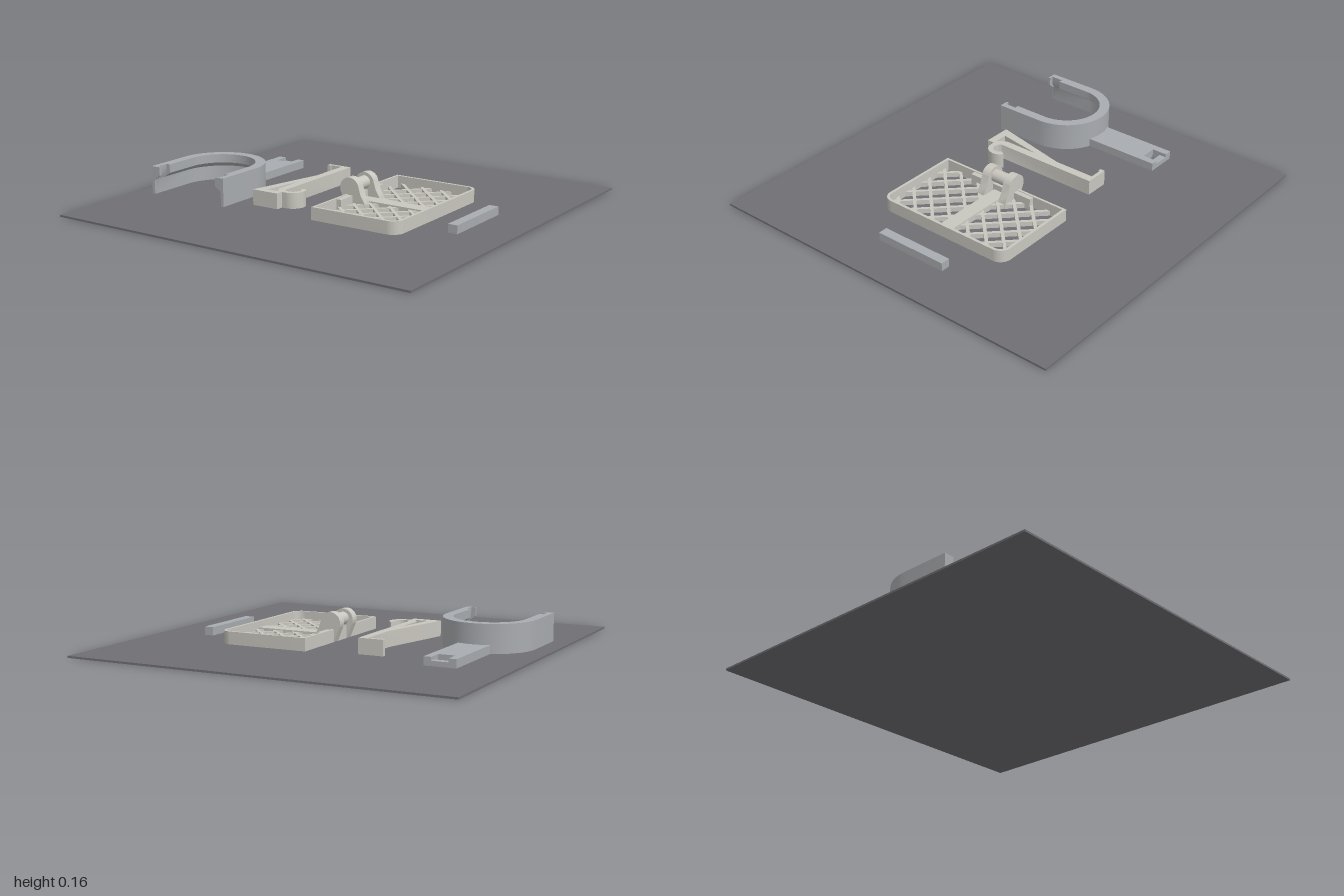
import * as THREE from 'three';
import { toCreasedNormals } from 'three/addons/utils/BufferGeometryUtils.js';

const FLOOR = 0.01; // top of the base sheet

export function createModel() {
  const material = (name, color) => {
    const m = new THREE.MeshStandardMaterial({ color });
    m.name = name;
    return m;
  };
  const charcoal = material('charcoal sheet', 0x706f74);
  const steel = material('blue grey', 0xa9acb0);
  const cream = material('warm grey', 0xc9c7bf);

  const model = new THREE.Group();
  model.name = 'partsLayout';
  const group = (name) => {
    const g = new THREE.Group();
    g.name = name;
    model.add(g);
    return g;
  };
  const add = (parent, name, geometry, mat) => {
    const mesh = new THREE.Mesh(geometry, mat);
    mesh.name = name;
    parent.add(mesh);
    return mesh;
  };
  // Box given by its limits
  const box = (parent, name, mat, x0, x1, y0, y1, z0, z1) => {
    const mesh = add(parent, name, new THREE.BoxGeometry(x1 - x0, y1 - y0, z1 - z0), mat);
    mesh.position.set((x0 + x1) / 2, (y0 + y1) / 2, (z0 + z1) / 2);
    return mesh;
  };
  // Plan outline (x, z) raised from y0 to y1
  const toShape = (pts) => new THREE.Shape(pts.map(([x, z]) => new THREE.Vector2(x, -z)));
  const raise = (shape, y0, y1) => {
    const g = new THREE.ExtrudeGeometry(shape, { depth: y1 - y0, bevelEnabled: false, curveSegments: 12 });
    return toCreasedNormals(g.rotateX(-Math.PI / 2).translate(0, y0, 0), 0.6);
  };

  box(model, 'baseSheet', charcoal, -1, 1, 0, FLOOR, -1, 1);

  // Fork bracket: lipped arch with straight legs, and a flat slotted arm
  const fork = group('forkBracket');
  add(fork, 'forkArch', archGeometry(), steel);
  add(fork, 'forkArm', raise(toShape([
    [-0.755, -0.04], [-0.755, -0.445], [-0.715, -0.445], [-0.715, -0.365],
    [-0.63, -0.365], [-0.63, -0.445], [-0.592, -0.445], [-0.592, -0.04],
  ]), FLOOR, 0.053), steel);
  box(fork, 'armLedge', steel, -0.715, -0.63, FLOOR, 0.035, -0.445, -0.407);

  // Hook lever: tapering bar with a slot, end catch and curled hook
  const lever = group('hookLever');
  const bar = toShape([
    [-0.33, -0.33], [-0.2, -0.33], [-0.2, 0.24], [-0.17, 0.285], [-0.19, 0.285], [-0.19, 0.325],
    [-0.34, 0.325], [-0.245, -0.09], [-0.245, -0.312], [-0.31, -0.312], [-0.31, -0.305], [-0.33, -0.305],
  ]);
  bar.holes.push(new THREE.Path([
    [-0.243, 0.05], [-0.282, 0.285], [-0.215, 0.285], [-0.243, 0.24],
  ].map(([x, z]) => new THREE.Vector2(x, -z))));
  add(lever, 'leverBar', raise(bar, FLOOR, 0.09), cream);
  const curl = new THREE.Shape();
  curl.absarc(-0.167, -0.222, 0.063, -Math.PI, 0.95, false);
  curl.absarc(-0.167, -0.222, 0.036, 0.95, -Math.PI, true);
  add(lever, 'leverHook', raise(curl, FLOOR, 0.09), cream);

  // Lattice tray with rounded outer corners
  const tray = group('latticeTray');
  const roundedPlan = (x0, x1, z, r, Type) => {
    const s = new Type();
    s.moveTo(x0, -z);
    s.lineTo(x1 - r, -z);
    s.absarc(x1 - r, -z + r, r, -Math.PI / 2, 0, false);
    s.lineTo(x1, z - r);
    s.absarc(x1 - r, z - r, r, 0, Math.PI / 2, false);
    s.lineTo(x0, z);
    s.closePath();
    return s;
  };
  const rim = roundedPlan(0.06, 0.545, 0.385, 0.06, THREE.Shape);
  rim.holes.push(roundedPlan(0.073, 0.53, 0.37, 0.045, THREE.Path));
  add(tray, 'trayRim', raise(rim, FLOOR, 0.075), cream);
  box(tray, 'hingeRail', cream, 0.065, 0.1, FLOOR, 0.072, -0.19, 0.19);
  box(tray, 'centreRib', cream, 0.09, 0.535, FLOOR, 0.042, -0.038, 0.038);

  // Crossing diagonal slats, trimmed to the rim
  const inside = (x, z) => {
    if (x < 0.068 || x > 0.537 || Math.abs(z) > 0.377) return false;
    const dx = x - 0.485, dz = Math.abs(z) - 0.325;
    return dx < 0 || dz < 0 || Math.hypot(dx, dz) < 0.052;
  };
  for (const side of [1, -1]) {
    for (let k = -4; k <= 4; k++) {
      const offset = (k + 0.5) * 0.115;
      const run = [];
      for (let x = 0.06; x < 0.545; x += 0.002) {
        if (inside(x, side * (x - 0.302) + offset)) run.push(x);
      }
      if (run.length < 8) continue;
      const a = run[0], b = run[run.length - 1], mid = (a + b) / 2;
      const slat = add(tray, 'latticeSlat',
        new THREE.BoxGeometry((b - a) * Math.SQRT2, 0.025, 0.017), cream);
      slat.position.set(mid, FLOOR + 0.0125, side * (mid - 0.302) + offset);
      slat.rotation.y = -side * Math.PI / 4;
    }
  }

  // Teardrop hinge lugs and the pin between them
  const lug = new THREE.Shape();
  lug.moveTo(0.06, FLOOR);
  lug.lineTo(0.17, FLOOR);
  lug.lineTo(0.17, 0.04);
  lug.lineTo(0.147, 0.075);
  lug.lineTo(0.132, 0.122);
  lug.absarc(0.08, 0.106, 0.055, 0.3, Math.PI + 0.45, false);
  lug.closePath();
  for (const z of [-0.09, 0.046]) {
    const g = new THREE.ExtrudeGeometry(lug, { depth: 0.044, bevelEnabled: false, curveSegments: 20 });
    add(tray, 'hingeLug', toCreasedNormals(g.translate(0, 0, z), 0.6), cream);
  }
  const pin = add(tray, 'hingePin', new THREE.CylinderGeometry(0.033, 0.033, 0.1, 24), cream);
  pin.rotation.x = Math.PI / 2;
  pin.position.set(0.08, 0.112, 0);

  box(model, 'looseBar', steel, 0.707, 0.757, FLOOR, 0.053, -0.2, 0.2);
  return model;
}

// Arch section swept along one leg, round the bend and back down the other leg
function archGeometry() {
  const cx = -0.67, cz = 0.18, full = 0.183, notched = 0.205;
  const section = (lip) => [
    [0.235, FLOOR], [0.235, 0.155], [lip, 0.155], [lip, 0.11], [0.218, 0.085], [0.218, FLOOR],
  ];
  const leg = [[0.442, full], [0.43, full], [0.43, notched], [0.365, notched], [0.365, full]];
  const stations = leg.map(([z, lip]) => ({ a: 0, z, lip }));
  for (let i = 0; i <= 32; i++) stations.push({ a: (i / 32) * Math.PI, z: cz, lip: full });
  [...leg].reverse().forEach(([z, lip]) => stations.push({ a: Math.PI, z, lip }));

  const rings = stations.map(({ a, z, lip }) => section(lip).map(([d, y]) =>
    [cx + d * Math.cos(a), y, z - d * Math.sin(a)]));
  const pos = [];
  const tri = (...corners) => corners.forEach((p) => pos.push(...p));
  for (let s = 0; s < rings.length - 1; s++) {
    for (let i = 0; i < 6; i++) {
      const j = (i + 1) % 6, p = rings[s], q = rings[s + 1];
      tri(p[i], q[i], q[j]);
      tri(p[i], q[j], p[j]);
    }
  }
  // Leg ends
  const last = rings[rings.length - 1];
  const faces = THREE.ShapeUtils.triangulateShape(section(full).map(([x, y]) => new THREE.Vector2(x, y)), []);
  for (const [i, j, k] of faces) {
    tri(rings[0][i], rings[0][j], rings[0][k]);
    tri(last[i], last[k], last[j]);
  }
  const g = new THREE.BufferGeometry();
  g.setAttribute('position', new THREE.Float32BufferAttribute(pos, 3));
  return toCreasedNormals(g, 0.5);
}
